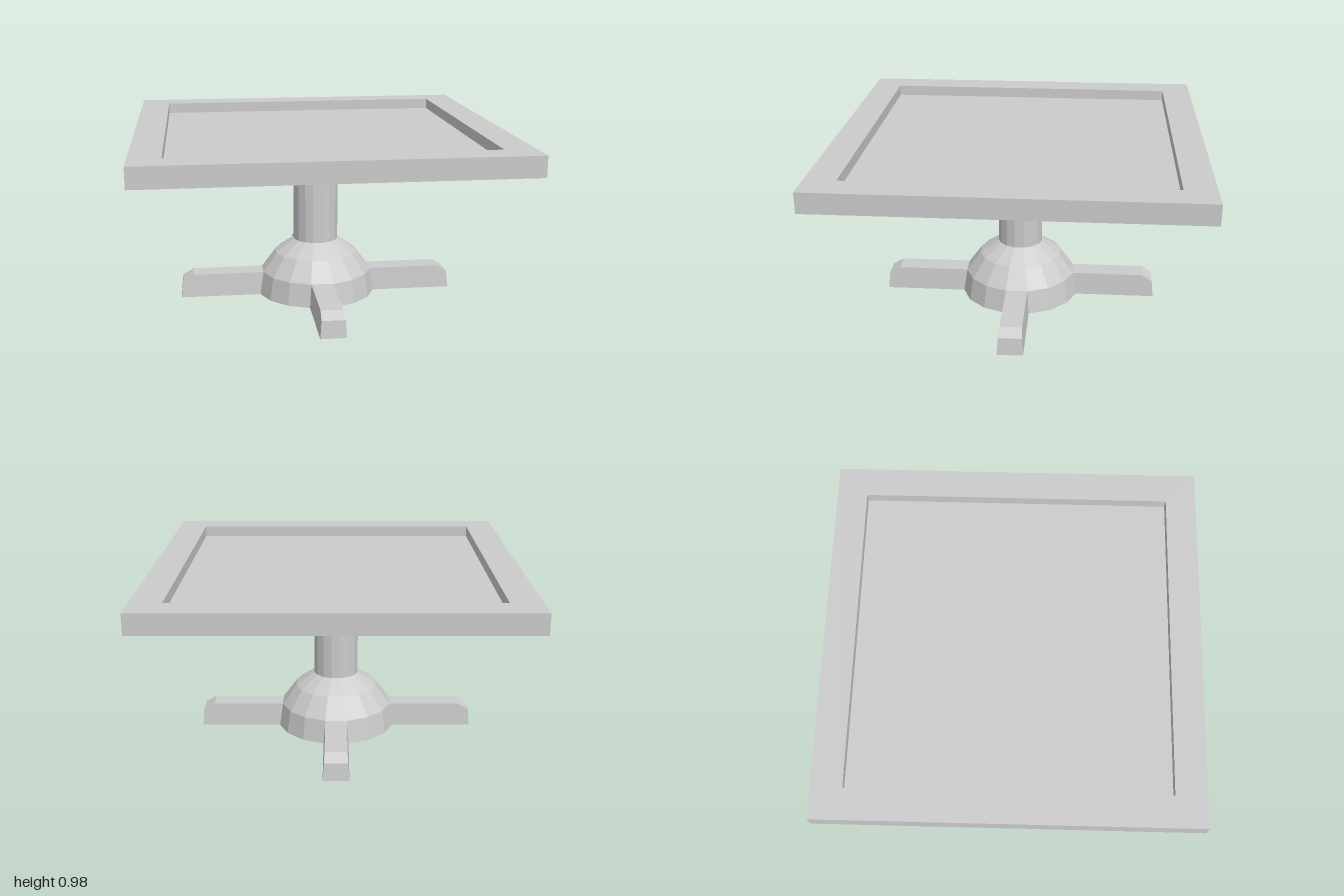
import * as THREE from 'three';

const SIDES = 16;
const material = new THREE.MeshStandardMaterial({ color: 0xcccccc, flatShading: true });

function addPart(parent, name, geometry) {
  const mesh = new THREE.Mesh(geometry, material);
  mesh.name = name;
  parent.add(mesh);
  return mesh;
}

function square(Type, h) {
  return new Type([[-h, -h], [h, -h], [h, h], [-h, h]].map(([x, y]) => new THREE.Vector2(x, y)));
}

// Leg: side profile extruded, with its sides leaning inwards towards the top
function legGeometry() {
  const halfWidth = 0.07;
  const profile = new THREE.Shape([
    [0.29, 0], [0.78, 0], [0.77, 0.095], [0.71, 0.13], [0.29, 0.13],
  ].map(([x, y]) => new THREE.Vector2(x, y)));
  const geometry = new THREE.ExtrudeGeometry(profile, { depth: 2 * halfWidth, bevelEnabled: false });
  geometry.translate(0, 0, -halfWidth);
  const p = geometry.attributes.position;
  for (let i = 0; i < p.count; i++) p.setZ(i, p.getZ(i) * (1 - 1.1 * p.getY(i)));
  geometry.computeVertexNormals();
  return geometry;
}

export function createModel() {
  const model = new THREE.Group();
  model.name = 'pedestalTable';

  // Table top: raised rim around a sunken panel
  const top = new THREE.Group();
  top.name = 'tableTop';
  model.add(top);
  const outline = square(THREE.Shape, 1);
  outline.holes.push(square(THREE.Path, 0.835));
  const rim = new THREE.ExtrudeGeometry(outline, { depth: 0.11, bevelEnabled: false });
  rim.rotateX(-Math.PI / 2).translate(0, 0.87, 0);
  addPart(top, 'rim', rim);
  addPart(top, 'sunkenPanel', new THREE.BoxGeometry(1.67, 0.05, 1.67).translate(0, 0.895, 0));

  // Column
  const column = new THREE.CylinderGeometry(0.127, 0.127, 0.57, SIDES);
  column.rotateY(Math.PI / SIDES).translate(0, 0.59, 0);
  addPart(model, 'column', column);

  // Domed foot
  const dome = [[0, 0], [0.337, 0], [0.315, 0.13], [0.235, 0.24], [0.125, 0.315], [0, 0.315]]
    .map(([r, y]) => new THREE.Vector2(r, y));
  addPart(model, 'domedBase', new THREE.LatheGeometry(dome, SIDES, Math.PI / SIDES));

  // Four legs
  const leg = legGeometry();
  for (let i = 0; i < 4; i++) addPart(model, 'leg', leg).rotation.y = i * Math.PI / 2;

  return model;
}
